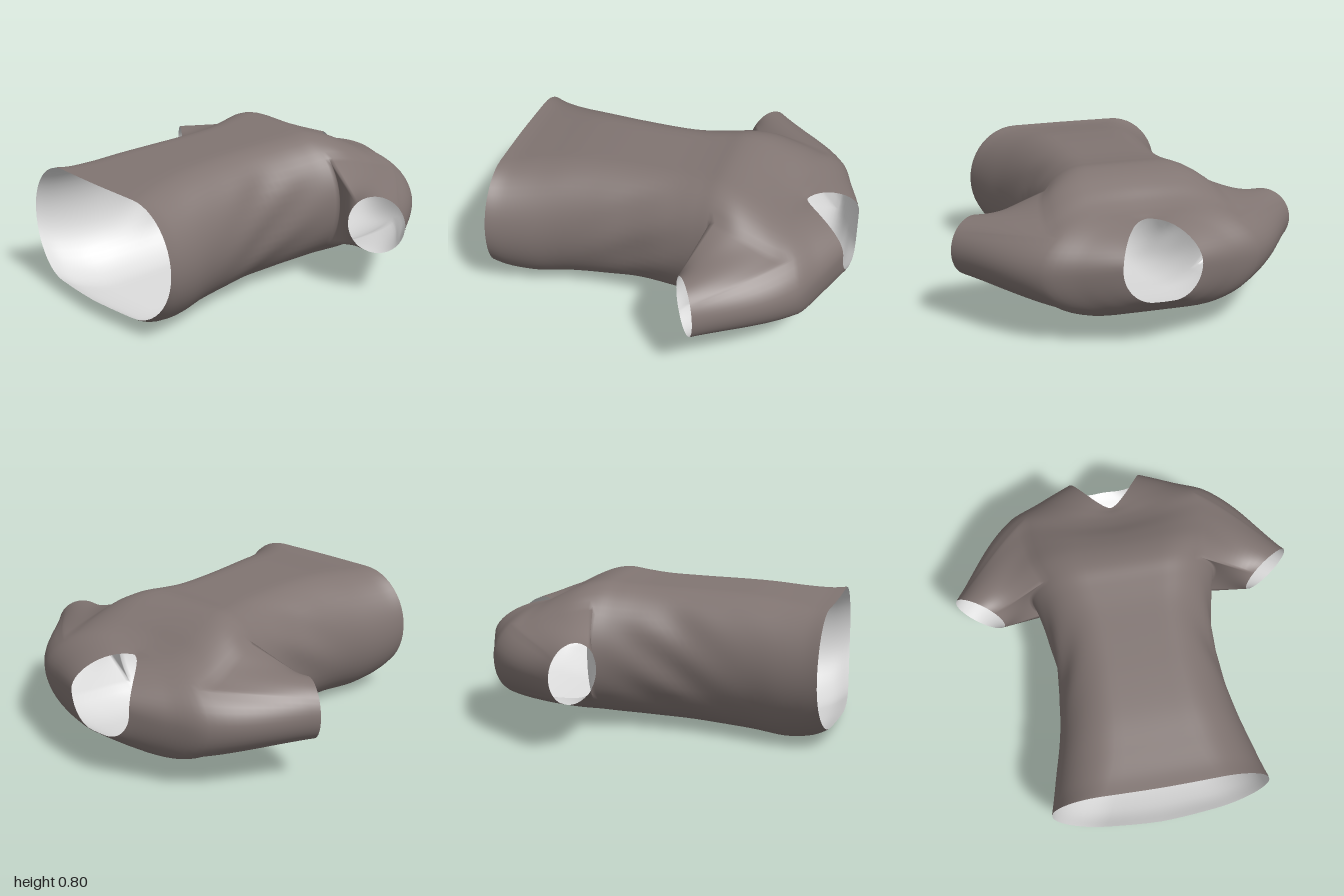
import * as THREE from 'three';
import { mergeVertices } from 'three/addons/utils/BufferGeometryUtils.js';

const AROUND = 64, STEPS = 5, HALF = 6; // ring points, rows per key, half width of armhole in columns
const ARMPIT = 8, SHOULDER = 12; // key rows that bound the armhole

// Body rings, hem to neck: half width, y back, y front, z back, z side, z front, flat share of the width
const KEYS = [
  [0.60, 0.085, 0.725, 1.00, 0.94, 0.955, 0.52],
  [0.58, 0.035, 0.725, 0.90, 0.86, 0.87, 0.46],
  [0.545, 0.005, 0.74, 0.74, 0.72, 0.73, 0.40],
  [0.50, 0.018, 0.76, 0.55, 0.55, 0.55, 0.38],
  [0.465, 0.03, 0.77, 0.35, 0.35, 0.35, 0.38],
  [0.445, 0.04, 0.775, 0.15, 0.15, 0.15, 0.38],
  [0.465, 0.05, 0.78, -0.05, -0.05, -0.05, 0.38],
  [0.495, 0.06, 0.79, -0.20, -0.20, -0.19, 0.40],
  [0.53, 0.07, 0.80, -0.31, -0.31, -0.30, 0.40],
  [0.58, 0.08, 0.78, -0.43, -0.43, -0.40, 0.40],
  [0.61, 0.095, 0.735, -0.56, -0.56, -0.50, 0.38],
  [0.625, 0.12, 0.685, -0.70, -0.70, -0.58, 0.36],
  [0.60, 0.155, 0.655, -0.82, -0.815, -0.64, 0.34],
  [0.42, 0.205, 0.638, -0.91, -0.895, -0.685, 0.30],
  [0.30, 0.245, 0.63, -0.96, -0.945, -0.705, 0.28],
  [0.21, 0.275, 0.625, -1.00, -0.98, -0.722, 0.25],
];

// Smooth interpolation of the ring keys
function keyAt(row) {
  const i = Math.min(Math.floor(row / STEPS), KEYS.length - 2), t = row / STEPS - i;
  const at = (k) => KEYS[Math.max(0, Math.min(KEYS.length - 1, k))];
  return KEYS[i].map((p1, c) => {
    const p0 = at(i - 1)[c], p2 = at(i + 1)[c], p3 = at(i + 2)[c];
    return p1 + 0.5 * t * (p2 - p0 + t * (2 * p0 - 5 * p1 + 4 * p2 - p3 + t * (3 * (p1 - p2) + p3 - p0)));
  });
}

// Ring with rounded sides and flat front and back: three quarters of the columns form the arcs
function bodyPoint(row, col) {
  const [w, yb, yf, zb, zs, zf, flat] = keyAt(row);
  const quarter = AROUND / 4, j = (col + AROUND) % AROUND, m = j % (AROUND / 2);
  const t = Math.min(m, AROUND / 2 - m) / quarter;
  const sideX = j > quarter && j < 3 * quarter ? -1 : 1, sideY = j > 2 * quarter ? -1 : 1;
  const phi = Math.min(1, t / 0.75) * Math.PI / 2;
  const u = t < 0.75 ? flat + (1 - flat) * Math.cos(phi) : flat * (1 - t) / 0.25;
  const v = sideY * Math.sin(phi);
  const zc = sideY > 0 ? zf : zb;
  const z = zc + (zs - zc) * Math.pow(u, 1.5);
  const y = (yb + yf) / 2 + (yf - yb) / 2 * v;
  // soft diagonal folds along the sides of the waist
  const fold = 0.008 * Math.sin(24 * (y + 0.6 * z)) * Math.exp(-(((z - 0.1) / 0.25) ** 2)) * u * u;
  return new THREE.Vector3(sideX * (w * u + fold), y, z);
}

// Sleeve rows from the armhole edge to the cuff
function sleeveRows() {
  const i0 = ARMPIT * STEPS, i1 = SHOULDER * STEPS, edge = [];
  for (let j = -HALF; j < HALF; j++) edge.push(bodyPoint(i0, j));
  for (let i = i0; i < i1; i++) edge.push(bodyPoint(i, HALF));
  for (let j = HALF; j > -HALF; j--) edge.push(bodyPoint(i1, j));
  for (let i = i1; i >= i0; i--) edge.push(bodyPoint(i, -HALF));
  const rows = [];
  for (let k = 0; k <= 12; k++) {
    const t = k / 12;
    rows.push(edge.map((p) => {
      const a = Math.atan2((p.y - 0.43) / 0.25, (-p.z - 0.56) / 0.25);
      const cuff = new THREE.Vector3(
        0.83 + 0.13 * Math.cos(a), 0.42 + 0.163 * Math.sin(a), -0.285 - 0.085 * Math.cos(a));
      const q = p.clone().lerp(cuff, t);
      const bulge = t * (1 - t) * (1 - t) * Math.max(0, Math.cos(a));
      q.x += 0.12 * bulge;
      q.z -= 0.08 * bulge;
      return q;
    }));
  }
  return rows;
}

function shirtGeometry() {
  const pos = [];
  const tri = (a, b, c) => pos.push(...a.toArray(), ...b.toArray(), ...c.toArray());
  const quad = (a, b, c, d) => { tri(a, c, b); tri(b, c, d); };

  // body with an armhole on each side
  const rows = (KEYS.length - 1) * STEPS, body = [];
  for (let i = 0; i <= rows; i++) {
    body.push(Array.from({ length: AROUND }, (_, j) => bodyPoint(i, j)));
  }
  for (let i = 0; i < rows; i++) {
    for (let j = 0; j < AROUND; j++) {
      const side = (j + HALF) % (AROUND / 2) < 2 * HALF;
      if (side && i >= ARMPIT * STEPS && i < SHOULDER * STEPS) continue;
      const k = (j + 1) % AROUND;
      quad(body[i][j], body[i][k], body[i + 1][j], body[i + 1][k]);
    }
  }

  // sleeves, mirrored
  const sleeve = sleeveRows();
  const mirror = (p) => new THREE.Vector3(-p.x, p.y, p.z);
  for (let i = 0; i < sleeve.length - 1; i++) {
    for (let j = 0; j < sleeve[i].length - 1; j++) {
      const q = [sleeve[i][j], sleeve[i][j + 1], sleeve[i + 1][j], sleeve[i + 1][j + 1]];
      quad(...q);
      const [a, b, c, d] = q.map(mirror);
      quad(b, a, d, c);
    }
  }
  const geometry = new THREE.BufferGeometry();
  geometry.setAttribute('position', new THREE.Float32BufferAttribute(pos, 3));
  const welded = mergeVertices(geometry, 1e-4);
  welded.computeVertexNormals();
  return welded;
}

// The same cloth moved slightly inwards and facing inwards
function liningGeometry(outer) {
  const g = outer.clone(), p = g.attributes.position, n = g.attributes.normal;
  for (let i = 0; i < p.count; i++) {
    p.setXYZ(i, p.getX(i) - 0.002 * n.getX(i), p.getY(i) - 0.002 * n.getY(i), p.getZ(i) - 0.002 * n.getZ(i));
  }
  g.setIndex(Array.from(outer.index.array).reverse());
  g.computeVertexNormals();
  return g;
}

export function createModel() {
  const cloth = new THREE.MeshStandardMaterial({ color: 0x817572 });
  cloth.name = 'taupe cloth';
  const pale = new THREE.MeshStandardMaterial({ color: 0xdddddd });
  pale.name = 'pale lining';

  const group = new THREE.Group();
  group.name = 'shirt';
  const outside = new THREE.Mesh(shirtGeometry(), cloth);
  outside.name = 'shirtOutside';
  const lining = new THREE.Mesh(liningGeometry(outside.geometry), pale);
  lining.name = 'shirtLining';
  group.add(outside, lining);
  return group;
}
